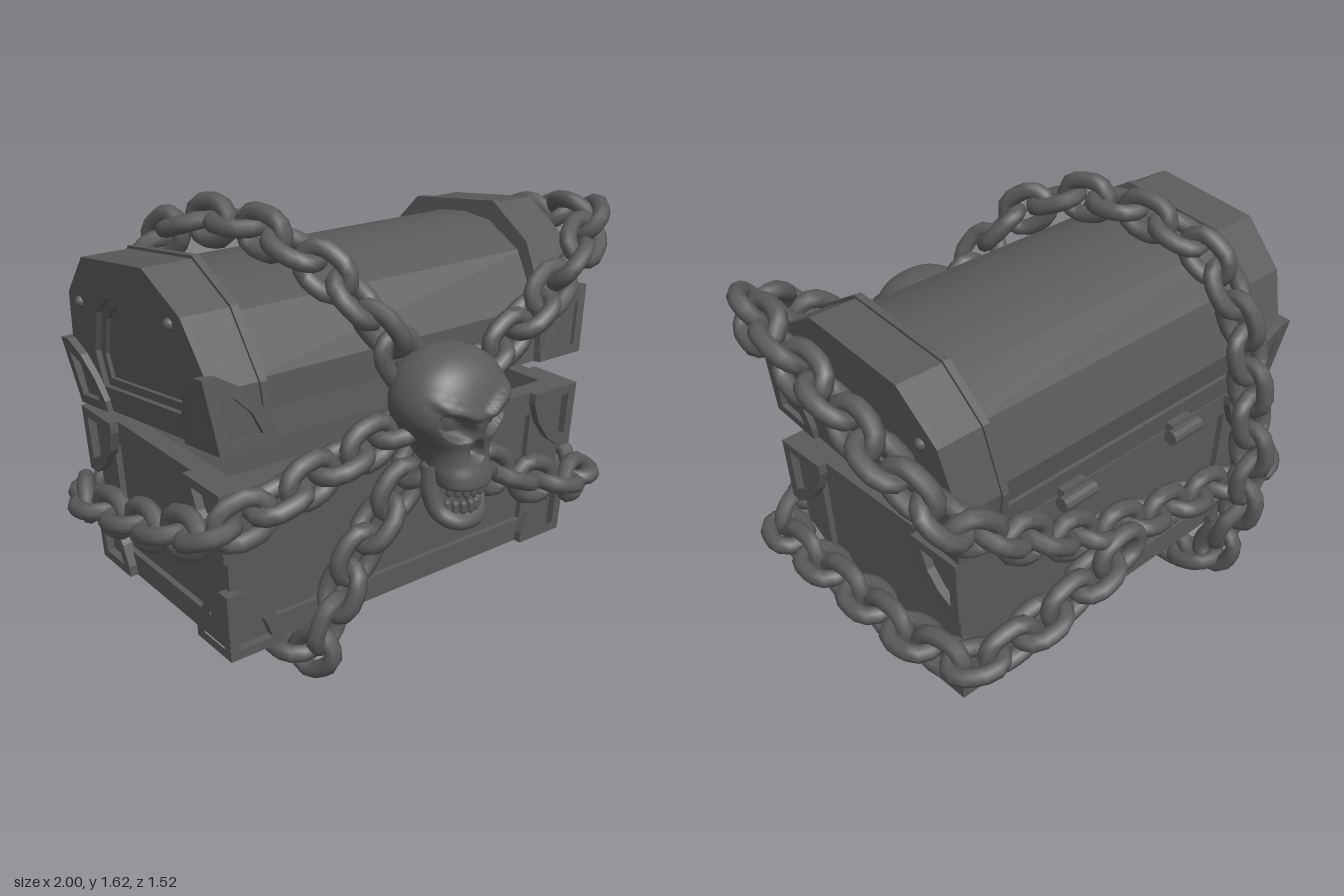
import * as THREE from 'three';
import { mergeVertices, toCreasedNormals } from 'three/addons/utils/BufferGeometryUtils.js';

const flat = new THREE.MeshStandardMaterial({ color: 0x5a5a5a, flatShading: true });
const smooth = new THREE.MeshStandardMaterial({ color: 0x5a5a5a });
const V = (a) => new THREE.Vector3(...a);

function add(group, name, geo, mat = flat) {
  const mesh = new THREE.Mesh(geo, mat);
  mesh.name = name;
  group.add(mesh);
  return mesh;
}
const toShape = (pts) => new THREE.Shape(pts.map((p) => new THREE.Vector2(...p)));
function extrude(pts, depth, hole) {
  const s = toShape(pts);
  if (hole) s.holes.push(toShape(hole));
  return new THREE.ExtrudeGeometry(s, { depth, bevelEnabled: false });
}
const rect = (w, y0, y1) => [[-w, y0], [w, y0], [w, y1], [-w, y1]];
const box = (w, h, d, x, y, z) => new THREE.BoxGeometry(w, h, d).translate(x, y, z);

// widen a part with height
function taper(geo, kx, kz = kx) {
  const p = geo.attributes.position;
  for (let i = 0; i < p.count; i++) {
    const y = p.getY(i);
    p.setX(i, p.getX(i) * (1 + kx * y));
    p.setZ(i, p.getZ(i) * (1 + kz * y));
  }
  geo.computeVertexNormals();
  return geo;
}

// pierced corner guard, growing inwards from a corner
function cornerPlate(su, sv) {
  const m = ([a, b]) => [a * su, b * sv];
  return extrude(
    [[0, 0], [0.21, 0], [0.21, 0.04], [0.18, 0.12], [0.12, 0.2], [0.05, 0.25], [0, 0.25]].map(m), 0.035,
    [[0.035, 0.035], [0.165, 0.035], [0.14, 0.11], [0.09, 0.17], [0.035, 0.2]].map(m));
}
// corner guards on all four upright faces at one height
function cornerPlates(group, halfW, halfD, y, sv, kx, kz) {
  for (let f = 0; f < 4; f++) {
    const [w, d] = f % 2 ? [halfD, halfW] : [halfW, halfD];
    for (const s of [-1, 1]) {
      const g = cornerPlate(-s, sv).translate(s * (w + 0.034), y, d).rotateY(f * Math.PI / 2);
      add(group, 'cornerGuard', taper(g, kx, kz));
    }
  }
}

function makeBase() {
  const g = new THREE.Group();
  g.name = 'chestBase';
  g.position.set(-0.045, 0.22, -0.03);
  const H = 0.62, k = 0.065;
  const ring = (w, d, iw, id, h) =>
    extrude(rect(w, -d, d), h, rect(iw, -id, id)).rotateX(-Math.PI / 2);
  add(g, 'walls', taper(ring(0.715, 0.4, 0.67, 0.355, H), k));
  add(g, 'bottomFrame', ring(0.7, 0.385, 0.63, 0.31, 0.04));
  add(g, 'floor', box(1.39, 0.03, 0.77, 0, 0.045, 0));
  // raised frame around the panel on each face
  for (let f = 0; f < 4; f++) {
    const [w, d, hw] = f % 2 ? [0.422, 0.737, 0.29] : [0.737, 0.422, 0.57];
    const fr = extrude(rect(w, 0, H), 0.024, rect(hw, 0.09, 0.53));
    add(g, 'panelFrame', taper(fr.translate(0, 0, d - 0.024).rotateY(f * Math.PI / 2), k));
  }
  cornerPlates(g, 0.732, 0.417, 0, 1, k, k);
  cornerPlates(g, 0.732, 0.417, H, -1, k, k);
  return g;
}

// arched outlines: faceted for the end bands, rounder for the middle; g is the inset
const mirrored = (half) => [...half, ...half.map(([a, b]) => [-a, b]).reverse()];
const bandArch = (g) => mirrored([
  [0.44 - g, 0], [0.455 - g, 0.2], [0.37 - 0.8 * g, 0.41 - 0.7 * g], [0.2 - 0.5 * g, 0.54 - g]]);
const roofArch = (g) => mirrored([
  [0.425 - g, 0], [0.445 - g, 0.2], [0.35 - 0.8 * g, 0.4 - 0.7 * g], [0.21 - 0.6 * g, 0.49 - g],
  [0.07, 0.525 - g]]);
const shell = (arch, g, t) => [...arch(g), ...arch(g + t).reverse()];

function makeLid() {
  const g = new THREE.Group();
  g.name = 'lid';
  g.position.set(-0.045, 0.91, -0.03);
  g.rotation.x = -0.127;
  const alongX = (geo, x0) => taper(geo.rotateY(Math.PI / 2).translate(x0, 0, 0), 0.155, 0);
  const roof = alongX(extrude(shell(roofArch, 0, 0.045), 1.26), -0.63);
  add(g, 'lidShell', toCreasedNormals(roof, 0.45), smooth);
  const panel = mirrored([[0.29, 0.09], [0.29, 0.22], [0.2, 0.37], [0.1, 0.43]]);
  const step = mirrored([[0.26, 0.12], [0.26, 0.21], [0.18, 0.345], [0.09, 0.4]]);
  for (const s of [-1, 1]) {
    const at = (a, len) => (s > 0 ? a : -a - len);
    add(g, 'endBand', alongX(extrude(shell(bandArch, -0.02, 0.06), 0.16), at(0.59, 0.16)));
    add(g, 'innerRidge', alongX(extrude(shell(bandArch, -0.03, 0.06), 0.025), at(0.582, 0.025)));
    add(g, 'endPanel', alongX(extrude(bandArch(0.01), 0.03), at(0.705, 0.03)));
    add(g, 'panelStep', alongX(extrude(panel, 0.015, step), at(0.735, 0.015)));
    add(g, 'endFrame', alongX(extrude(bandArch(-0.02), 0.025, panel), at(0.745, 0.025)));
    add(g, 'lowerRail', box(1.24, 0.09, 0.04, 0, 0.045, s * 0.428));
    for (const u of [0.31, -0.31]) {
      const rivet = new THREE.SphereGeometry(0.022, 10, 8);
      add(g, 'rivet', rivet.translate(s * 0.815, 0.395, u), smooth);
    }
  }
  cornerPlates(g, 0.755, 0.446, 0, 1, 0.2, 0.08);
  return g;
}

function makeHinges() {
  const g = new THREE.Group();
  g.name = 'hinges';
  for (const x of [-0.32, 0.23]) {
    const pin = new THREE.CylinderGeometry(0.028, 0.028, 0.15, 10).rotateZ(Math.PI / 2);
    add(g, 'hingePin', pin.translate(x, 0.85, -0.52));
    add(g, 'hingeLeaf', box(0.11, 0.08, 0.03, x, 0.85, -0.495));
  }
  return g;
}

function makeSkull() {
  const g = new THREE.Group();
  g.name = 'skull';
  g.position.x = -0.03;
  // height, half width, front z, back z from crown to upper jaw
  const rows = [[1.19, 0, 0.56, 0.56], [1.18, 0.08, 0.63, 0.49], [1.125, 0.165, 0.7, 0.425],
    [1.04, 0.207, 0.738, 0.405], [0.98, 0.203, 0.745, 0.4], [0.92, 0.17, 0.73, 0.4],
    [0.87, 0.132, 0.72, 0.405], [0.825, 0.112, 0.725, 0.45], [0.78, 0.105, 0.738, 0.54],
    [0.74, 0.095, 0.738, 0.56], [0.74, 0, 0.64, 0.64]];
  const front = new THREE.CatmullRomCurve3(rows.map((r) => V([r[1], r[0], r[2]])));
  const back = new THREE.CatmullRomCurve3(rows.map((r) => V([r[1], r[0], r[3]])));
  const geo = new THREE.SphereGeometry(1, 96, 72);
  const { position: p, uv } = geo.attributes;
  const dent = (d) => 1 - THREE.MathUtils.smoothstep(d, 0.3, 1.1);
  const boxy = (v) => Math.sign(v) * Math.abs(v) ** 0.88;
  for (let i = 0; i < p.count; i++) {
    const phi = uv.getX(i) * 2 * Math.PI, t = THREE.MathUtils.clamp(1 - uv.getY(i), 0, 1);
    const f = front.getPoint(t), b = back.getPoint(t);
    const x = -boxy(Math.cos(phi)) * f.x, y = f.y;
    let z = (f.z + b.z) / 2 + boxy(Math.sin(phi)) * (f.z - b.z) / 2;
    if (Math.sin(phi) > 0) {
      // slanted eye sockets, brows and nose opening
      const dx = Math.abs(x) - 0.088, dy = y - 0.968 - 0.4 * dx;
      z -= 0.06 * dent((dx / 0.062) ** 2 + (dy / 0.05) ** 2);
      z += 0.02 * dent((dx / 0.09) ** 2 + ((dy - 0.062) / 0.03) ** 2);
      z -= 0.05 * dent((x / (0.012 + 0.35 * Math.max(0, 0.91 - y))) ** 2 + ((y - 0.87) / 0.04) ** 2);
    }
    p.setXYZ(i, x, y, z);
  }
  geo.deleteAttribute('uv');
  geo.deleteAttribute('normal');
  const head = mergeVertices(geo, 1e-5);
  head.computeVertexNormals();
  add(g, 'cranium', head, smooth);

  // lower jaw with its two upright branches
  const half = [[0.1, 0.81, 0.6], [0.1, 0.71, 0.61], [0.082, 0.64, 0.635], [0.047, 0.612, 0.675]];
  const path = [...half.map(([x, y, z]) => V([-x, y, z])), V([0, 0.607, 0.685]),
    ...half.reverse().map(V)];
  add(g, 'jaw', new THREE.TubeGeometry(new THREE.CatmullRomCurve3(path), 32, 0.034, 10), smooth);
  // teeth
  for (const [n, y, r, h, z] of [[8, 0.735, 0.085, 0.024, 0.64], [7, 0.662, 0.072, 0.024, 0.625]]) {
    for (let i = 0; i < n; i++) {
      const a = (i / (n - 1) - 0.5) * 2.3;
      const tooth = add(g, 'tooth', new THREE.CapsuleGeometry(0.013, h, 3, 8), smooth);
      tooth.position.set(r * Math.sin(a), y, z + r * Math.cos(a));
    }
  }
  return g;
}

// one oval link lying in the xy plane, long along x
function linkGeometry() {
  const pts = [];
  for (let i = 0; i < 12; i++) {
    const a = (i + 0.5) * Math.PI / 6;
    pts.push(V([Math.cos(a) * 0.063 + Math.sign(Math.cos(a)) * 0.028, Math.sin(a) * 0.064, 0]));
  }
  return new THREE.TubeGeometry(new THREE.CatmullRomCurve3(pts, true), 14, 0.032, 8, true);
}

// links along a path, alternately flat to the chest and standing on edge
function makeChain(name, link, pitch, phase, pts) {
  const g = new THREE.Group();
  g.name = name;
  const curve = new THREE.CatmullRomCurve3(pts.map(V), false, 'centripetal');
  const n = Math.round(curve.getLength() / pitch);
  const lo = V([-0.7, 0.4, -0.4]), hi = V([0.6, 1.2, 0.35]);
  for (let i = 0; i <= n; i++) {
    const p = curve.getPointAt(i / n), t = curve.getTangentAt(i / n);
    const out = p.clone().sub(p.clone().clamp(lo, hi));
    const side = new THREE.Vector3().crossVectors(out, t).normalize();
    out.crossVectors(t, side);
    const m = add(g, 'link', link, smooth);
    m.quaternion.setFromRotationMatrix(new THREE.Matrix4().makeBasis(t, side, out));
    m.rotateX((i + phase) % 2 ? Math.PI / 2 : 0);
    m.position.copy(p);
  }
  return g;
}

export function createModel() {
  const model = new THREE.Group();
  model.name = 'chainedChest';
  const link = linkGeometry();
  model.add(makeBase(), makeLid(), makeHinges(), makeSkull());
  // over the lid, down the back, under the floor and up the front
  model.add(makeChain('uprightChain', link, 0.131, 1, [
    [-0.08, 1.03, 0.48], [-0.2, 1.23, 0.45], [-0.32, 1.41, 0.34], [-0.41, 1.52, 0.12],
    [-0.46, 1.525, -0.18], [-0.51, 1.43, -0.42], [-0.55, 1.2, -0.56], [-0.56, 0.9, -0.63],
    [-0.56, 0.6, -0.66], [-0.55, 0.33, -0.61], [-0.53, 0.14, -0.52], [-0.51, 0.11, -0.2],
    [-0.49, 0.11, 0.2], [-0.48, 0.14, 0.43], [-0.43, 0.3, 0.47], [-0.34, 0.5, 0.49],
    [-0.2, 0.68, 0.51], [-0.11, 0.8, 0.52]]));
  // round one end of the lid, across the back and round the other end of the base
  model.add(makeChain('longChain', link, 0.128, 0, [
    [0.1, 0.99, 0.48], [0.3, 1.11, 0.49], [0.5, 1.23, 0.48], [0.7, 1.37, 0.45],
    [0.85, 1.45, 0.34], [0.9, 1.42, 0.1], [0.9, 1.33, -0.17], [0.89, 1.22, -0.43],
    [0.81, 1.08, -0.56], [0.58, 0.91, -0.58], [0.3, 0.75, -0.57], [0, 0.64, -0.57],
    [-0.4, 0.55, -0.56], [-0.75, 0.48, -0.55], [-0.88, 0.51, -0.43], [-0.9, 0.57, -0.1],
    [-0.9, 0.66, 0.25], [-0.86, 0.74, 0.47], [-0.68, 0.81, 0.52], [-0.45, 0.86, 0.51],
    [-0.18, 0.92, 0.5]]));
  // round the other end of the base to meet the long chain at the back
  model.add(makeChain('lowChain', link, 0.128, 0, [
    [0.03, 0.79, 0.51], [0.25, 0.64, 0.51], [0.45, 0.55, 0.51], [0.65, 0.49, 0.51],
    [0.78, 0.46, 0.44], [0.81, 0.47, 0.25], [0.81, 0.47, 0], [0.81, 0.47, -0.35],
    [0.75, 0.48, -0.57], [0.5, 0.55, -0.64], [0.15, 0.64, -0.65]]));
  return model;
}
